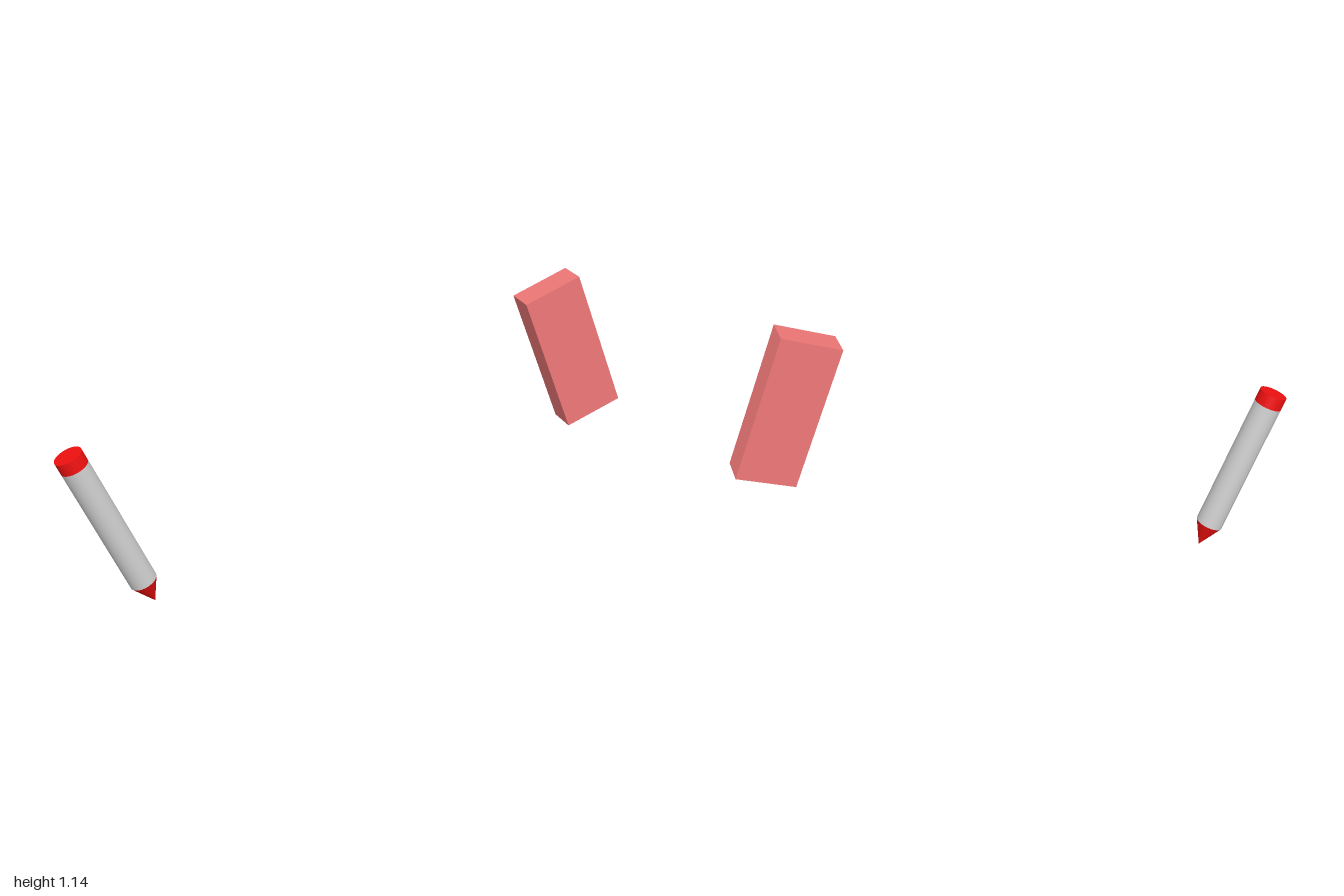
import * as THREE from 'three';

const RADIUS = 0.052;
const SIDES = 32;

function part(name, geometry, color, y = 0) {
  const mesh = new THREE.Mesh(geometry, new THREE.MeshStandardMaterial({ color }));
  mesh.name = name;
  mesh.position.y = y;
  return mesh;
}

// Both objects lean by the same angles
function leaningGroup(name, x, y, z) {
  const group = new THREE.Group();
  group.name = name;
  group.position.set(x, y, z);
  group.rotation.set(0, -0.107, THREE.MathUtils.degToRad(22.5), 'YXZ');
  return group;
}

export function createModel() {
  const model = new THREE.Group();
  model.name = 'pencilAndEraser';

  // Pencil, built upwards from its point
  const tipLength = 0.098, bodyLength = 0.532, capLength = 0.048;
  const red = 0xf01010;
  const pencil = leaningGroup('pencil', -0.692, 0.005, -0.161);
  const tip = new THREE.ConeGeometry(RADIUS, tipLength, SIDES);
  tip.rotateX(Math.PI);
  pencil.add(
    part('pencilTip', tip, red, tipLength / 2),
    part('pencilBody', new THREE.CylinderGeometry(RADIUS, RADIUS, bodyLength, SIDES, 1, true),
      0xcccccc, tipLength + bodyLength / 2),
    part('pencilCap', new THREE.CylinderGeometry(RADIUS, RADIUS, capLength, SIDES),
      red, tipLength + bodyLength + capLength / 2),
  );

  // Eraser block
  const eraser = leaningGroup('eraser', 0.793, 0.864, 0.171);
  eraser.add(part('eraserBlock', new THREE.BoxGeometry(0.212, 0.526, 0.104), 0xf07878));

  model.add(pencil, eraser);
  return model;
}
